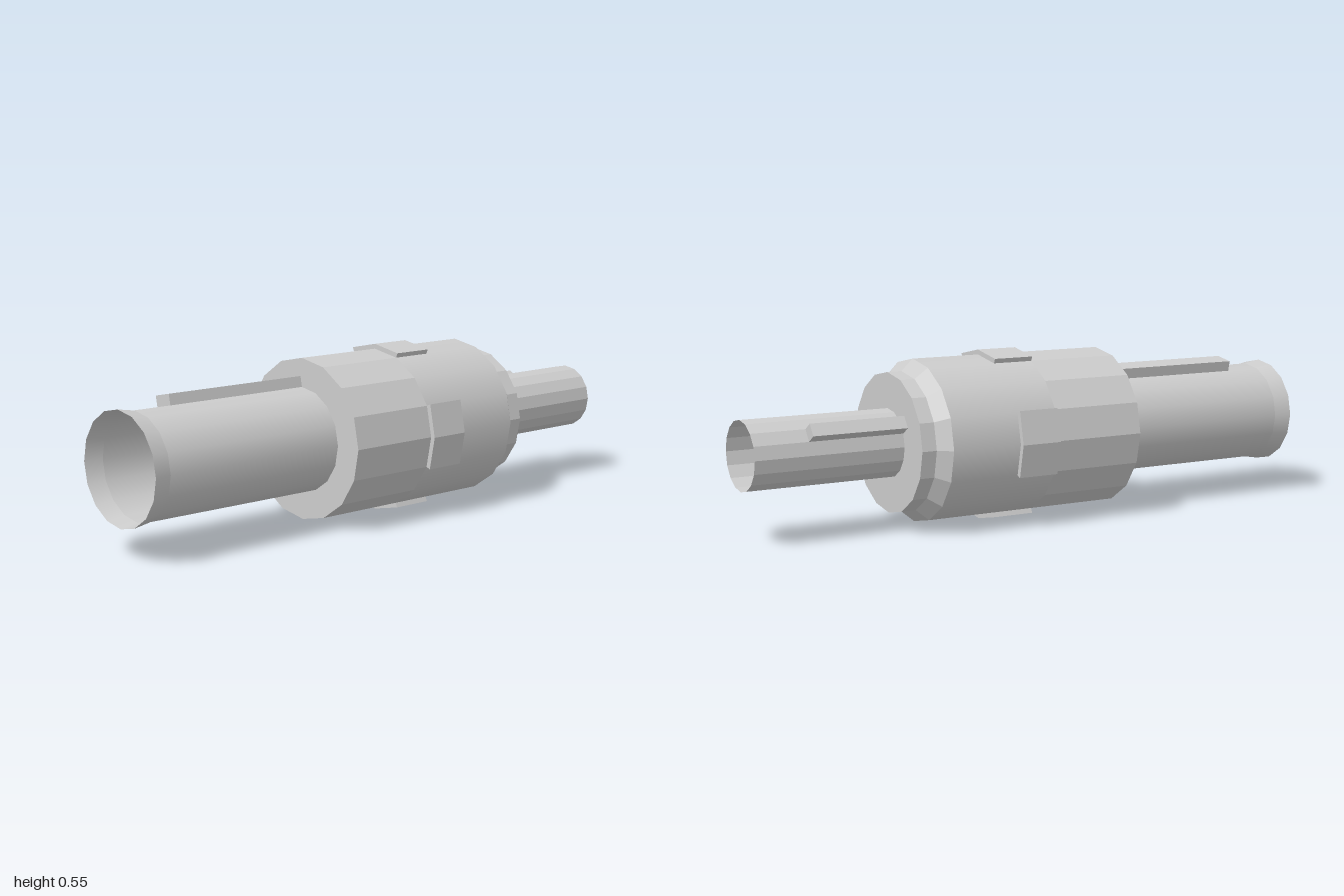
import * as THREE from 'three';

const SIDES = 16;
const STEP = (Math.PI * 2) / SIDES;
const AXIS_Y = 0.277;

export function createModel() {
  const model = new THREE.Group();
  model.name = 'shaftCoupling';
  const grey = new THREE.MeshStandardMaterial({ color: 0xcccccc, side: THREE.DoubleSide });
  grey.name = 'light grey metal';

  const assembly = new THREE.Group();
  assembly.name = 'assembly';
  assembly.position.y = AXIS_Y;
  model.add(assembly);

  function add(name, geometry) {
    const mesh = new THREE.Mesh(geometry, grey);
    mesh.name = name;
    assembly.add(mesh);
  }

  // Open 16-sided sleeve along x, faceted or smooth
  function sleeve(name, x0, x1, r0, r1, flat) {
    let g = new THREE.CylinderGeometry(r1, r0, x1 - x0, SIDES, 1, true);
    g.rotateZ(-Math.PI / 2);
    g.translate((x0 + x1) / 2, 0, 0);
    if (flat) {
      g = g.toNonIndexed();
      g.computeVertexNormals();
    }
    add(name, g);
  }

  // Flat ring closing a step between two radii; dir is the x direction it faces
  function endFace(name, x, inner, outer, dir) {
    const g = new THREE.RingGeometry(inner, outer, SIDES, 1);
    g.rotateY(dir * Math.PI / 2);
    g.translate(x, 0, 0);
    add(name, g);
  }

  // Cross-section given as [z, y] points, extruded along x
  function prism(name, points, x0, x1) {
    const shape = new THREE.Shape(points.map(([z, y]) => new THREE.Vector2(-z, y)));
    const g = new THREE.ExtrudeGeometry(shape, { depth: x1 - x0, bevelEnabled: false });
    g.rotateY(Math.PI / 2);
    g.translate(x0, 0, 0);
    add(name, g);
  }

  // Point on a ring, angle measured from the top towards the back
  const ringPoint = (r, a) => [-r * Math.sin(a), r * Math.cos(a)];

  // Key: one facet of a shaft raised along its normal
  function key(name, r, facet, height, x0, x1) {
    const a = ringPoint(r, facet * STEP);
    const b = ringPoint(r, (facet + 1) * STEP);
    const n = ringPoint(height, (facet + 0.5) * STEP);
    prism(name, [a, b, [b[0] + n[0], b[1] + n[1]], [a[0] + n[0], a[1] + n[1]]], x0, x1);
  }

  // Large shaft with flared open end
  sleeve('largeShaftFlare', -1, -0.94, 0.178, 0.168, false);
  sleeve('largeShaft', -0.94, -0.29, 0.168, 0.168, false);
  key('largeShaftKey', 0.168, 0, 0.035, -0.81, -0.29);

  // Housing: faceted and rounded halves, chamfer and collar
  endFace('housingBackFace', -0.29, 0.168, 0.261, -1);
  sleeve('housingFacetedHalf', -0.29, 0.03, 0.261, 0.261, true);
  sleeve('housingRoundedHalf', 0.03, 0.41, 0.261, 0.261, false);
  sleeve('housingChamfer', 0.41, 0.45, 0.261, 0.224, true);
  sleeve('housingCollar', 0.45, 0.5, 0.224, 0.224, true);
  endFace('housingFrontFace', 0.5, 0.11, 0.224, 1);

  // Four raised pads around the housing, each two facets wide
  for (let i = 0; i < 4; i++) {
    const angles = [-1, 0, 1].map((k) => i * Math.PI / 2 + k * STEP);
    const outer = angles.map((a) => ringPoint(0.277, a));
    const inner = angles.map((a) => ringPoint(0.261, a)).reverse();
    prism('pad' + (i + 1), [...outer, ...inner], 0.03, 0.17);
  }

  // Small open shaft and its key
  sleeve('smallShaft', 0.5, 1, 0.11, 0.11, true);
  key('smallShaftKey', 0.11, 2, 0.037, 0.5, 0.82);

  return model;
}
